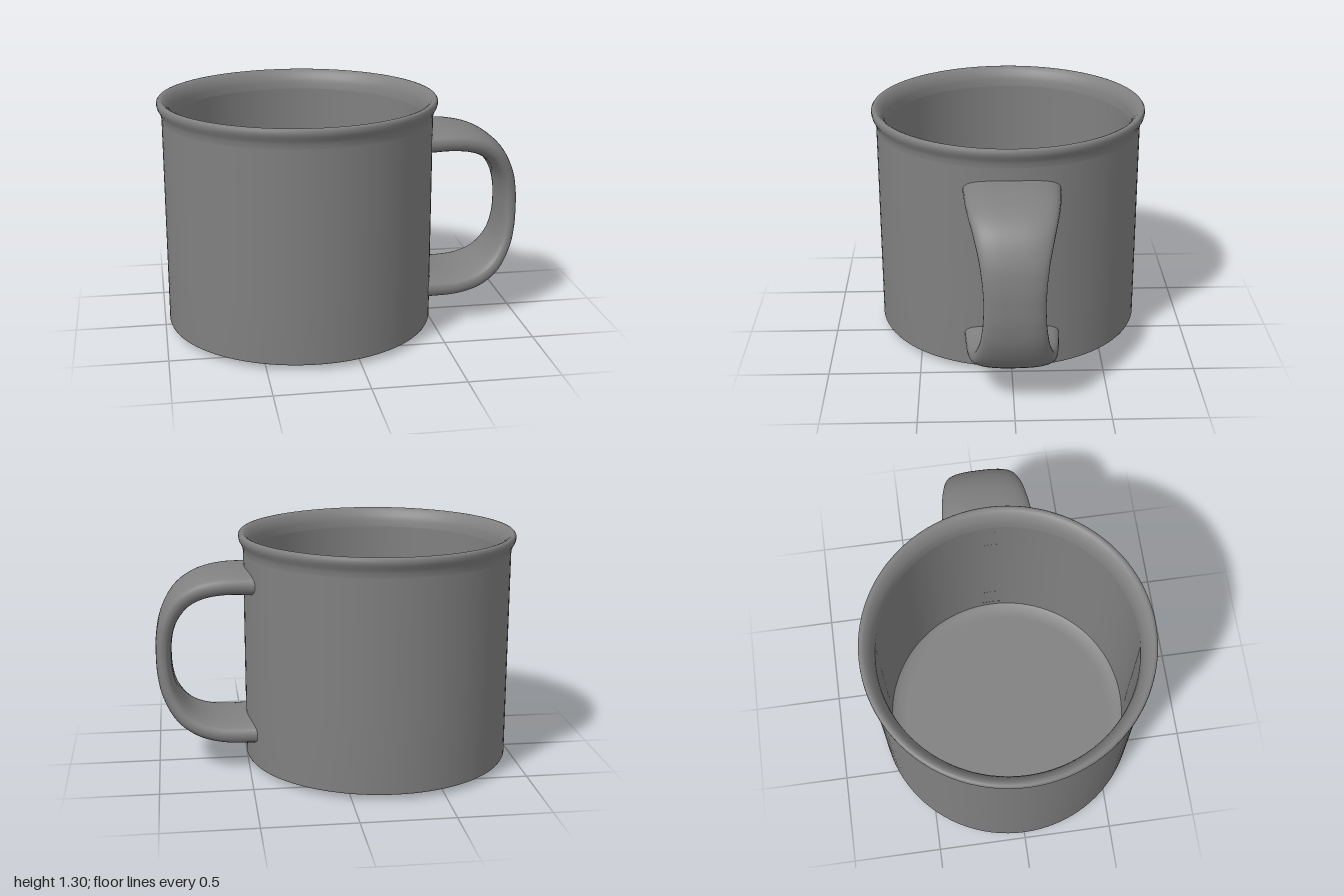
import * as THREE from 'three';

const AXIS_X = -0.235; // centre line of the cup

// Handle stations: x, y of centre line, half thickness, half width (upper half, mirrored below)
const MID_Y = 0.632;
const UPPER = [
  [0.44, 1.052, 0.082, 0.262],
  [0.5, 1.052, 0.071, 0.255],
  [0.62, 1.051, 0.068, 0.246],
  [0.75, 1.024, 0.064, 0.228],
  [0.85, 0.962, 0.058, 0.203],
  [0.922, 0.85, 0.049, 0.175],
  [0.95, 0.74, 0.045, 0.161],
];
const MIDDLE = [0.956, MID_Y, 0.044, 0.156];

function createHandleGeometry(rings = 72, sides = 36) {
  const lower = UPPER.map(([x, y, h, w]) => [x, 2 * MID_Y - y, h, w]).reverse();
  const stations = [...UPPER, MIDDLE, ...lower];
  const path = new THREE.CatmullRomCurve3(stations.map(([x, y]) => new THREE.Vector3(x, y, 0)));
  const size = new THREE.CatmullRomCurve3(stations.map(([, , h, w]) => new THREE.Vector3(h, w, 0)));
  const soft = (v) => Math.sign(v) * Math.abs(v) ** 0.75;
  const positions = [];
  const indices = [];
  for (let i = 0; i <= rings; i++) {
    const t = i / rings;
    const p = path.getPoint(t);
    const tangent = path.getTangent(t);
    const s = size.getPoint(t);
    for (let j = 0; j < sides; j++) {
      const a = (j / sides) * Math.PI * 2;
      const out = soft(Math.sin(a)) * s.x;
      const z = soft(Math.cos(a)) * s.y;
      let x = p.x - tangent.y * out;
      // the end rings wrap around the cup and stay inside its wall
      if (i === 0 || i === rings) x = AXIS_X + Math.sqrt(0.715 ** 2 - z * z);
      // bend the neighbouring rings part of the way to the curved wall
      else x -= 0.04 * (z / 0.25) ** 2 * Math.max(0, 1 - (p.x - 0.44) / 0.2);
      positions.push(x, p.y + tangent.x * out, z);
      if (i < rings) {
        const k = (j + 1) % sides;
        const A = i * sides + j, C = i * sides + k;
        indices.push(A, A + sides, C, A + sides, C + sides, C);
      }
    }
  }
  const geometry = new THREE.BufferGeometry();
  geometry.setAttribute('position', new THREE.Float32BufferAttribute(positions, 3));
  geometry.setIndex(indices);
  geometry.computeVertexNormals();
  return geometry;
}

export function createModel() {
  const group = new THREE.Group();
  group.name = 'mug';
  const enamel = new THREE.MeshStandardMaterial({ color: 0x808080 });
  enamel.name = 'grey enamel';

  // Turned parts of the cup; separate profiles keep the edges between them sharp
  const profiles = {
    underside: [[0, 0], [0.45, 0.002], [0.58, 0.007], [0.68, 0.017], [0.735, 0.03]],
    outerWall: [[0.735, 0.03], [0.74, 0.04], [0.74, 0.4], [0.74, 0.8], [0.74, 1.19]],
    rim: [
      [0.74, 1.19], [0.742, 1.215], [0.75, 1.236], [0.761, 1.255], [0.765, 1.272],
      [0.764, 1.288], [0.757, 1.297], [0.746, 1.299], [0.733, 1.294], [0.716, 1.278],
      [0.701, 1.255], [0.691, 1.228], [0.686, 1.19],
    ],
    innerWall: [[0.686, 1.19], [0.687, 0.8], [0.687, 0.4], [0.687, 0.09]],
    innerFloor: [[0.687, 0.09], [0.66, 0.072], [0.6, 0.065], [0, 0.06]],
  };
  for (const [name, points] of Object.entries(profiles)) {
    const outline = points.map(([r, y]) => new THREE.Vector2(r, y));
    const part = new THREE.Mesh(new THREE.LatheGeometry(outline, 96), enamel);
    part.name = name;
    part.position.x = AXIS_X;
    group.add(part);
  }

  // Strap handle, wide at the wall and slim at the grip
  const handle = new THREE.Mesh(createHandleGeometry(), enamel);
  handle.name = 'handle';
  group.add(handle);

  return group;
}
